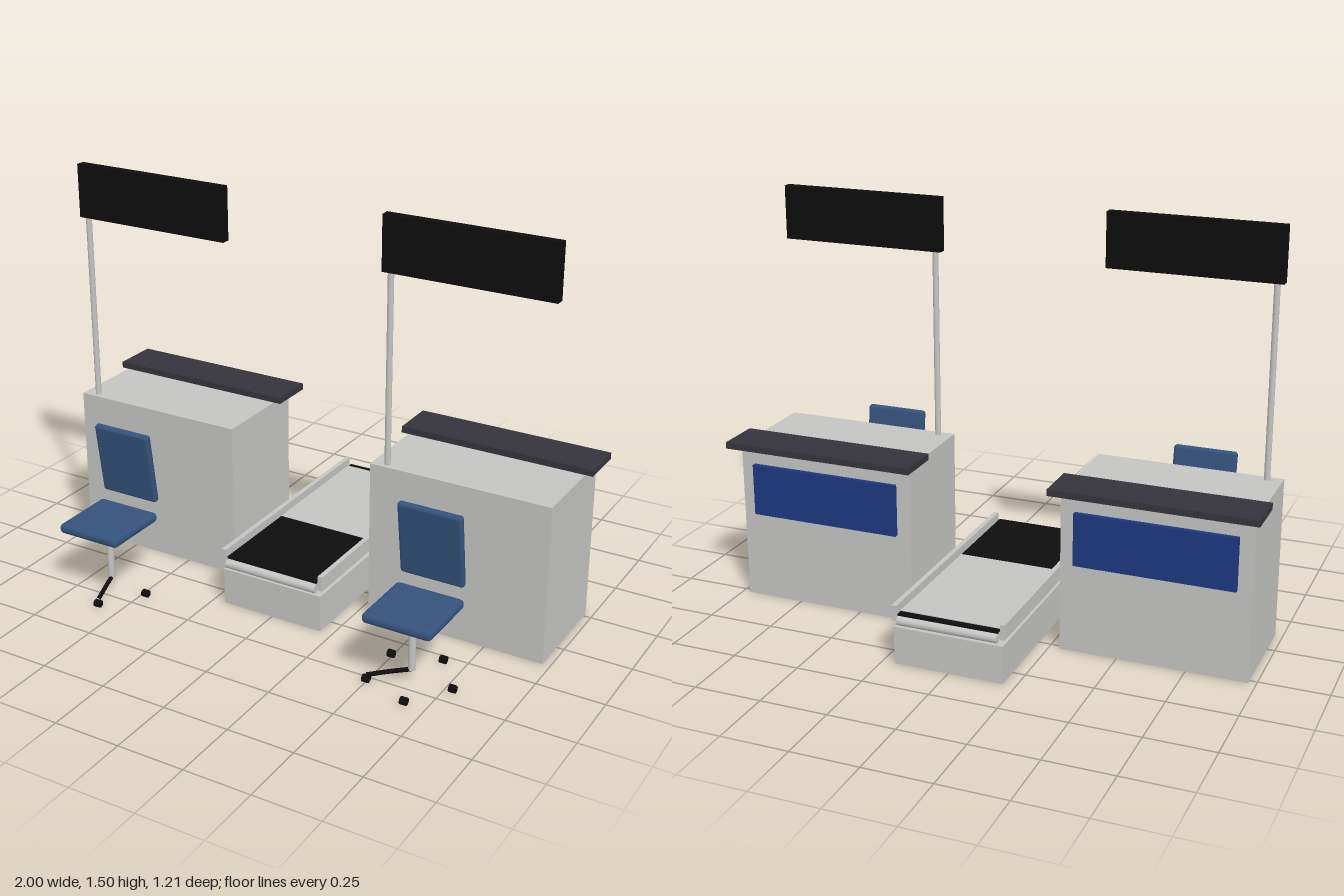
import * as THREE from 'three';
import { RoundedBoxGeometry } from 'three/addons/geometries/RoundedBoxGeometry.js';

const mat = (name, color) => Object.assign(new THREE.MeshStandardMaterial({ color }), { name });

export function createModel() {
  const M = {
    grey: mat('light grey', 0xc4c4c2),
    top: mat('charcoal', 0x35343c),
    black: mat('black', 0x0d0d0d),
    chair: mat('chair blue', 0x35527c),
    panel: mat('panel blue', 0x1d3880),
  };
  const model = new THREE.Group();
  model.name = 'checkInDesks';

  const add = (parent, name, geometry, material, x, y, z) => {
    const mesh = new THREE.Mesh(geometry, material);
    mesh.name = name;
    mesh.position.set(x, y, z);
    parent.add(mesh);
    return mesh;
  };
  // box given by its limits on each axis
  const box = (parent, name, material, x0, x1, y0, y1, z0, z1) =>
    add(parent, name, new THREE.BoxGeometry(x1 - x0, y1 - y0, z1 - z0), material,
      (x0 + x1) / 2, (y0 + y1) / 2, (z0 + z1) / 2);

  // desk with ledge, back panel, pole and sign
  function desk(x) {
    const g = new THREE.Group();
    g.name = 'desk';
    g.position.x = x;
    box(g, 'counter', M.grey, -0.342, 0.342, 0, 0.6, -0.27, 0.126);
    box(g, 'ledge', M.top, -0.37, 0.37, 0.6, 0.624, -0.335, -0.165);
    box(g, 'backPanel', M.panel, -0.29, 0.29, 0.335, 0.53, -0.288, -0.27);
    add(g, 'signPole', new THREE.CylinderGeometry(0.011, 0.011, 0.71, 20), M.grey, -0.287, 0.955, 0.1);
    box(g, 'sign', M.black, -0.315, 0.315, 1.305, 1.505, 0.081, 0.115);
    model.add(g);
  }

  // swivel chair; wheels and legs are listed as steps of 72 degrees
  function chair(x, wheels, legStep) {
    const g = new THREE.Group();
    g.name = 'chair';
    g.position.set(x, 0, 0.44);
    add(g, 'seat', new RoundedBoxGeometry(0.258, 0.038, 0.262, 4, 0.017), M.chair, 0, 0.267, 0);
    const back = add(g, 'backrest', new RoundedBoxGeometry(0.24, 0.282, 0.028, 4, 0.012), M.chair, 0, 0.46, -0.125);
    back.rotation.x = 0.135;
    add(g, 'column', new THREE.CylinderGeometry(0.013, 0.013, 0.21, 20), M.grey, 0, 0.146, 0);
    const at = (step, r, y) => {
      const a = step * Math.PI * 0.4;
      return new THREE.Vector3(Math.cos(a) * r, y, Math.sin(a) * r);
    };
    const leg = new THREE.CatmullRomCurve3([
      new THREE.Vector3(0, 0.042, 0), at(legStep, 0.08, 0.037), at(legStep, 0.155, 0.029)]);
    add(g, 'leg', new THREE.TubeGeometry(leg, 8, 0.008, 10), M.black, 0, 0, 0);
    for (const step of wheels) {
      const p = at(step, 0.155, 0.015);
      const wheel = add(g, 'caster', new THREE.CylinderGeometry(0.014, 0.014, 0.024, 12), M.black, p.x, p.y, p.z);
      wheel.rotation.z = Math.PI / 2;
    }
    model.add(g);
  }

  desk(-0.63);
  desk(0.63);
  chair(-0.632, [0, 1], 1);
  chair(0.627, [0, 1, 2, 3, 4], 2);

  // baggage conveyor between the desks
  const conveyor = new THREE.Group();
  conveyor.name = 'conveyor';
  box(conveyor, 'conveyorBase', M.grey, -0.203, 0.203, 0, 0.14, -0.59, 0.326);
  box(conveyor, 'conveyorDeck', M.grey, -0.195, 0.195, 0.166, 0.188, -0.585, 0.322);
  box(conveyor, 'scaleBelt', M.black, -0.187, 0.187, 0.188, 0.195, -0.048, 0.326);
  box(conveyor, 'deckPlate', M.grey, -0.187, 0.187, 0.188, 0.196, -0.567, -0.048);
  box(conveyor, 'rearBelt', M.black, -0.187, 0.187, 0.186, 0.193, -0.592, -0.567);
  for (const s of [-1, 1]) {
    box(conveyor, 'sideRail', M.grey, s * 0.202 - 0.009, s * 0.202 + 0.009, 0.164, 0.22, -0.59, 0.326);
  }
  for (const z of [-0.59, 0.326]) {
    const roller = add(conveyor, 'roller', new THREE.CylinderGeometry(0.017, 0.017, 0.372, 20), M.grey, 0, 0.168, z);
    roller.rotation.z = Math.PI / 2;
  }
  model.add(conveyor);
  return model;
}
